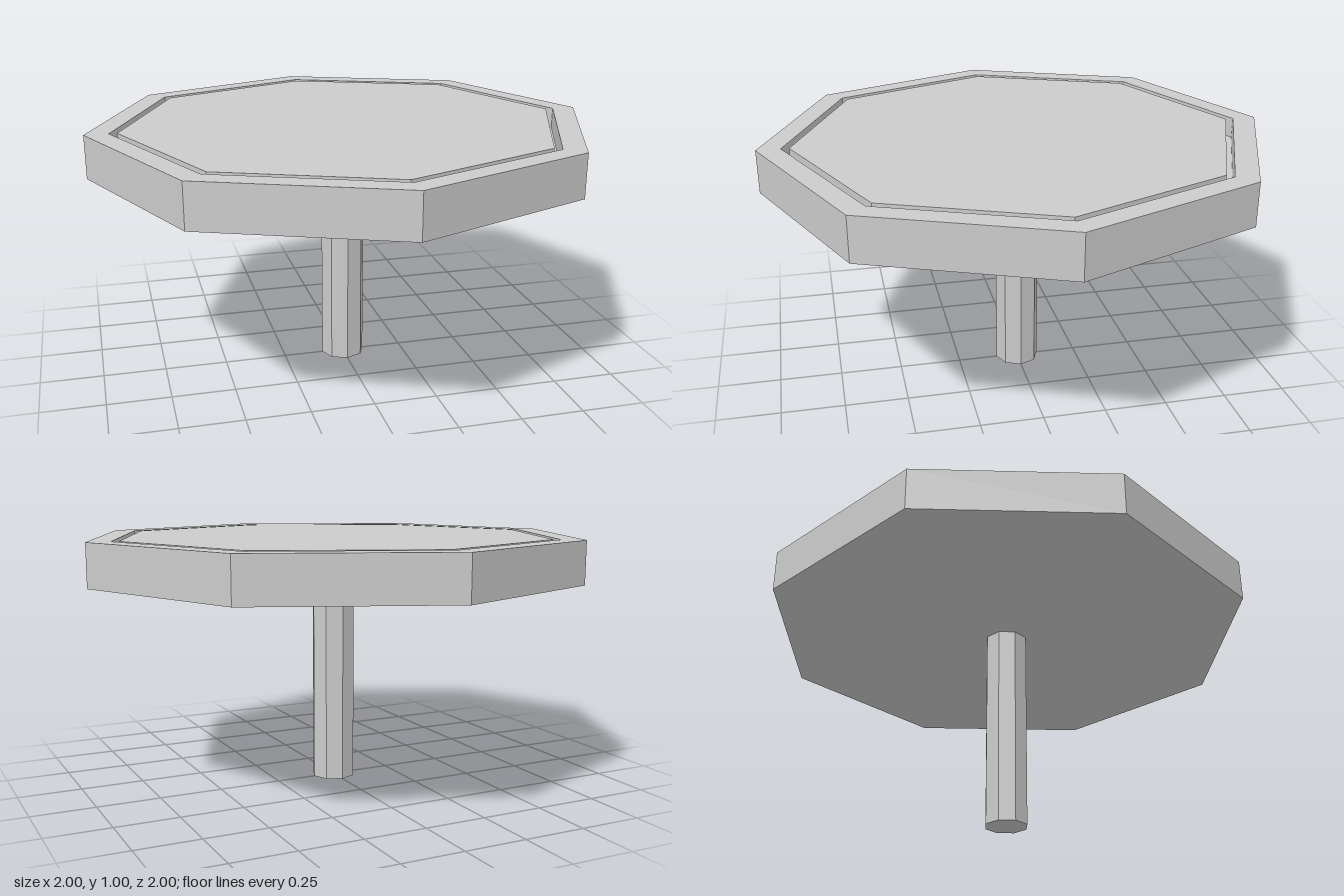
import * as THREE from 'three';

export function createModel() {
  const group = new THREE.Group();
  const material = new THREE.MeshStandardMaterial({ color: 0xcccccc, flatShading: true });
  const sides = 8;
  const top = 1, underside = 0.83, grooveFloor = 0.92;
  const rimInner = 0.907, panelRadius = 0.876;

  // Octagonal top: outer rim, narrow groove and flush centre panel
  const profile = [
    [0, underside], [1, underside], [1, top], [rimInner, top],
    [rimInner, grooveFloor], [panelRadius, grooveFloor], [panelRadius, top], [0, top],
  ].map(([r, y]) => new THREE.Vector2(r, y));
  const tableTop = new THREE.Mesh(new THREE.LatheGeometry(profile, sides), material);
  tableTop.name = 'tableTop';
  group.add(tableTop);

  // Central octagonal post
  const post = new THREE.Mesh(new THREE.CylinderGeometry(0.088, 0.088, underside, sides), material);
  post.name = 'post';
  post.position.y = underside / 2;
  group.add(post);

  return group;
}
